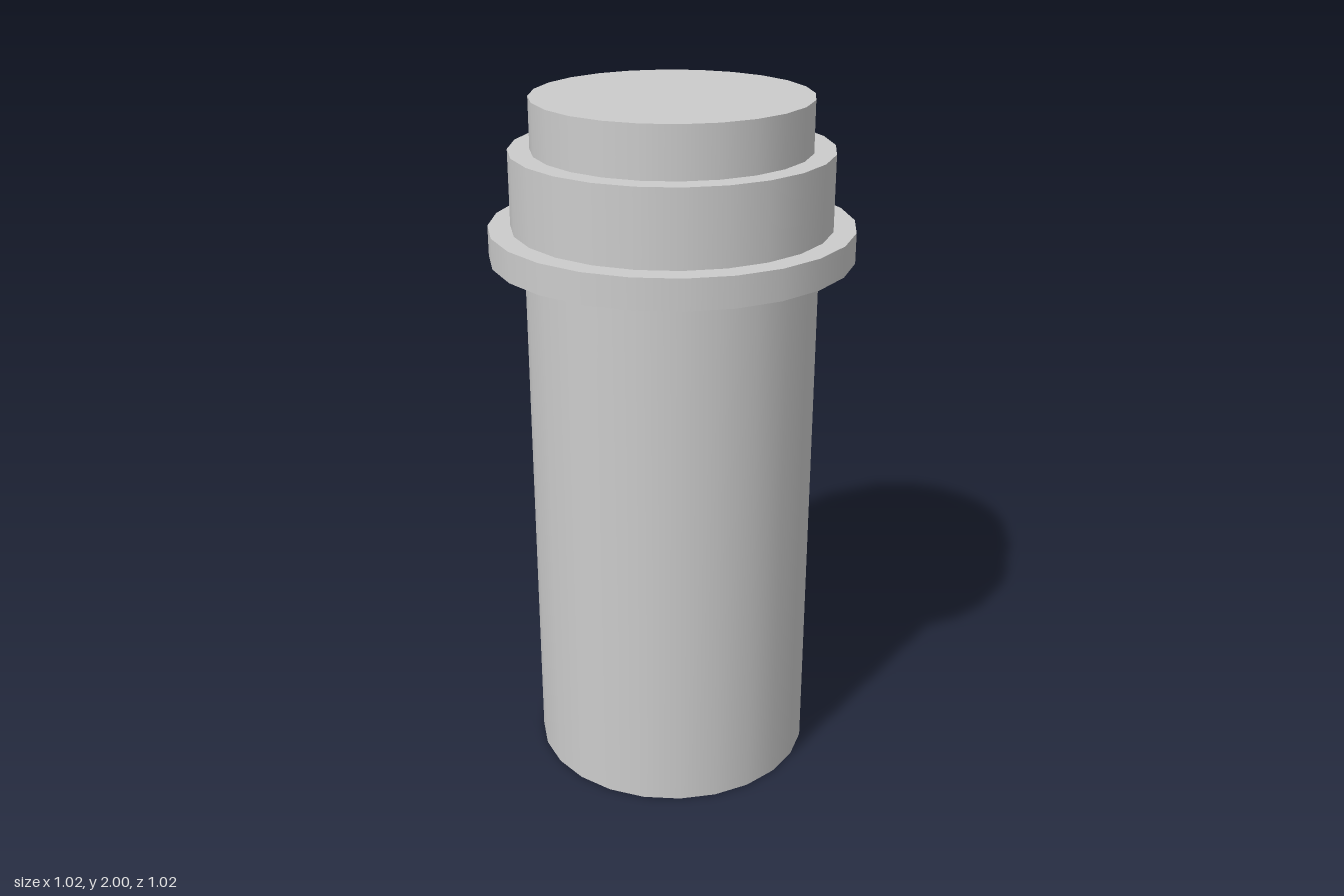
import * as THREE from 'three';

const SIDES = 24;

// Stacked cylinders: name, radius, bottom, top
const SECTIONS = [
  ['body', 0.413, 0, 1.56],
  ['flange', 0.512, 1.56, 1.646],
  ['collar', 0.449, 1.646, 1.858],
  ['cap', 0.388, 1.858, 2],
];

export function createModel() {
  const group = new THREE.Group();
  group.name = 'flangedCylinder';
  const material = new THREE.MeshStandardMaterial({ color: 0xcccccc });

  for (const [name, radius, bottom, top] of SECTIONS) {
    const mesh = new THREE.Mesh(
      new THREE.CylinderGeometry(radius, radius, top - bottom, SIDES),
      material,
    );
    mesh.name = name;
    mesh.position.y = (bottom + top) / 2;
    group.add(mesh);
  }
  return group;
}
